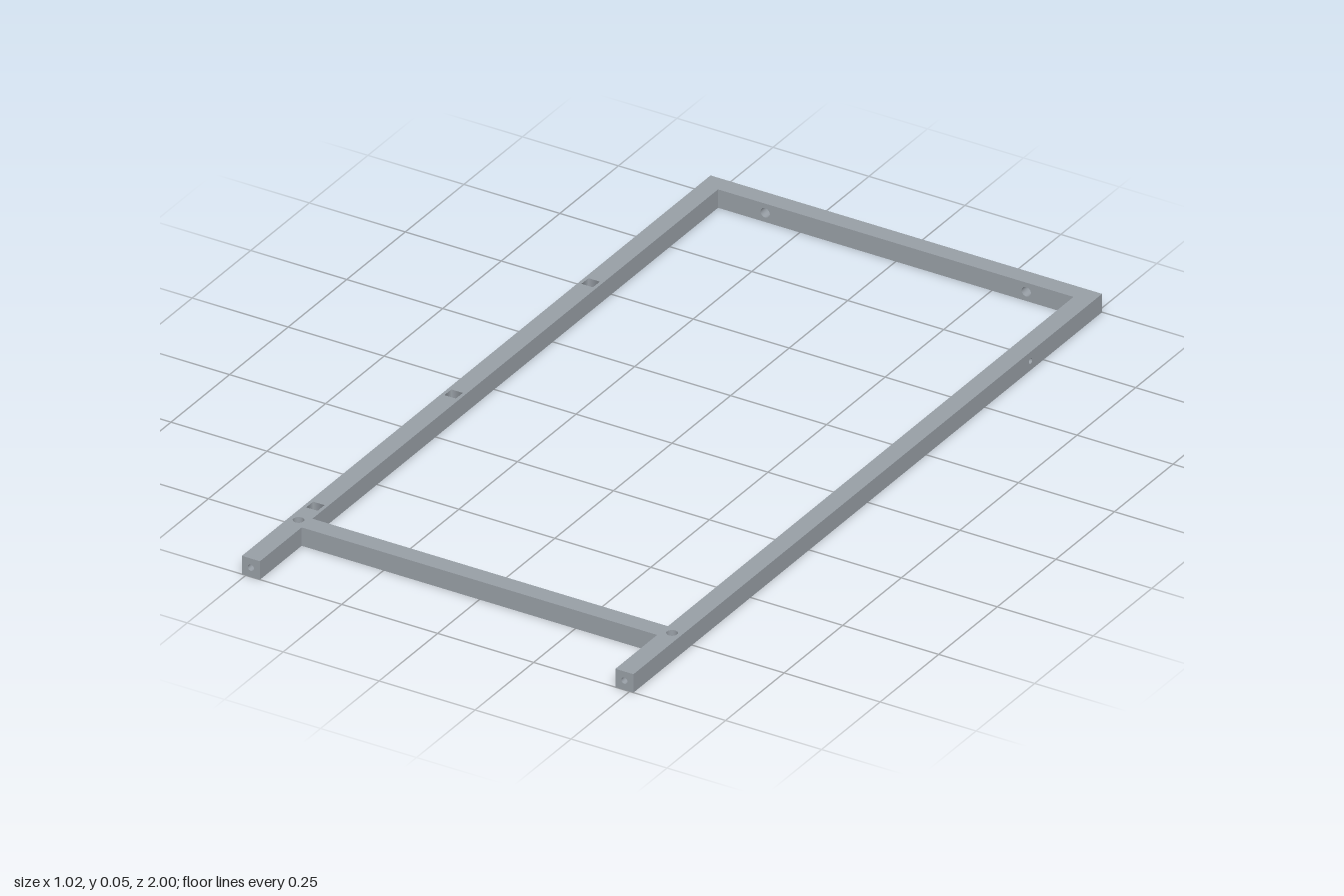
import * as THREE from 'three';

const H = 0.047, MID = H / 2;       // bar height and its mid level
const OUT = 0.51, IN = 0.463;       // outer and inner x of the side rails
const RAIL_X = (OUT + IN) / 2;

const COLOR = 0x989fa6;             // blue-grey metal
const material = new THREE.MeshStandardMaterial({ color: COLOR });
const boreMaterial = new THREE.MeshStandardMaterial({ color: COLOR, side: THREE.BackSide });

// Outward direction of each face as a turn of the +z plane
const TURN = {
  front: [0, 0], back: [0, Math.PI], right: [0, Math.PI / 2],
  left: [0, -Math.PI / 2], top: [-Math.PI / 2, 0], bottom: [Math.PI / 2, 0],
};

// A blind hole sunk into one face; four sides give a square pocket
const blind = (face, at, r, depth, sides = 20) => [{ face, at, r, depth, sides, floor: true }];
// A hole through the whole bar, as two halves that meet in the middle
const through = (faces, at, r, thickness) =>
  faces.map((face) => ({ face, at, r, depth: thickness / 2, sides: 20, floor: false }));

// A square bar made of flat faces with drilled holes
function bar(name, min, max, bores, skip = []) {
  const group = new THREE.Group();
  group.name = name;
  const lo = new THREE.Vector3(...min), hi = new THREE.Vector3(...max);
  const size = hi.clone().sub(lo), centre = lo.clone().add(hi).multiplyScalar(0.5);

  for (const [face, [rx, ry]] of Object.entries(TURN)) {
    if (skip.includes(face)) continue;
    const q = new THREE.Quaternion().setFromEuler(new THREE.Euler(rx, ry, 0));
    const inverse = q.clone().invert();
    const local = size.clone().applyQuaternion(inverse);
    const w = Math.abs(local.x) / 2, h = Math.abs(local.y) / 2, d = Math.abs(local.z) / 2;
    const shape = new THREE.Shape([[-w, -h], [w, -h], [w, h], [-w, h]].map((p) => new THREE.Vector2(...p)));

    const side = new THREE.Group();
    side.name = `${face}Side`;
    side.quaternion.copy(q);
    side.position.copy(centre);

    for (const b of bores.filter((o) => o.face === face)) {
      const p = new THREE.Vector3(...b.at).sub(centre).applyQuaternion(inverse);
      const start = Math.PI / b.sides;
      const ring = [];
      for (let i = 0; i < b.sides; i++) {
        const a = start + (i / b.sides) * Math.PI * 2;
        ring.push(new THREE.Vector2(p.x + b.r * Math.sin(a), p.y + b.r * Math.cos(a)));
      }
      shape.holes.push(new THREE.Path(ring));

      // inner wall of the hole
      const wall = new THREE.CylinderGeometry(b.r, b.r, b.depth, b.sides, 1, true, start);
      wall.rotateX(-Math.PI / 2).translate(p.x, p.y, d - b.depth / 2);
      const wallMesh = new THREE.Mesh(wall, boreMaterial);
      wallMesh.name = 'holeWall';
      side.add(wallMesh);
      if (b.floor) {
        const floor = new THREE.CircleGeometry(b.r, b.sides, start).translate(p.x, p.y, d - b.depth);
        const floorMesh = new THREE.Mesh(floor, material);
        floorMesh.name = 'holeFloor';
        side.add(floorMesh);
      }
    }

    const panel = new THREE.Mesh(new THREE.ShapeGeometry(shape).translate(0, 0, d), material);
    panel.name = `${face}Face`;
    side.add(panel);
    group.add(side);
  }
  return group;
}

export function createModel() {
  const model = new THREE.Group();
  model.name = 'frame';
  const stations = [-0.45, 0.135, 0.725];

  // Holes shared by both side rails: end bore and vertical pin hole
  const railBores = (x) => [
    ...blind('front', [x, MID, 1], 0.008, 0.1),
    ...through(['top', 'bottom'], [x, MID, 0.797], 0.013, H),
  ];

  // Left rail: holes along the inner face and one small bore outside
  model.add(bar('leftRail', [IN, 0, -1], [OUT, H, 1], [
    ...railBores(RAIL_X),
    ...stations.flatMap((z) => blind('left', [IN, MID, z + 0.01], 0.012, 0.03)),
    ...blind('right', [OUT, MID, -0.695], 0.007, 0.03),
  ]));

  // Right rail: square pockets sunk in the top
  model.add(bar('rightRail', [-OUT, 0, -1], [-IN, H, 1], [
    ...railBores(-RAIL_X),
    ...stations.flatMap((z) => blind('top', [-RAIL_X, H, z], 0.021, 0.03, 4)),
  ]));

  // Back rail with two holes right through it
  model.add(bar('backRail', [-IN, 0, -1], [IN, H, -0.955],
    [-0.34, 0.34].flatMap((x) => through(['front', 'back'], [x, MID, -0.98], 0.012, 0.045)),
    ['left', 'right']));

  // Front cross bar between the rails
  model.add(bar('crossBar', [-IN, 0, 0.776], [IN, H, 0.822], [], ['left', 'right']));

  return model;
}
